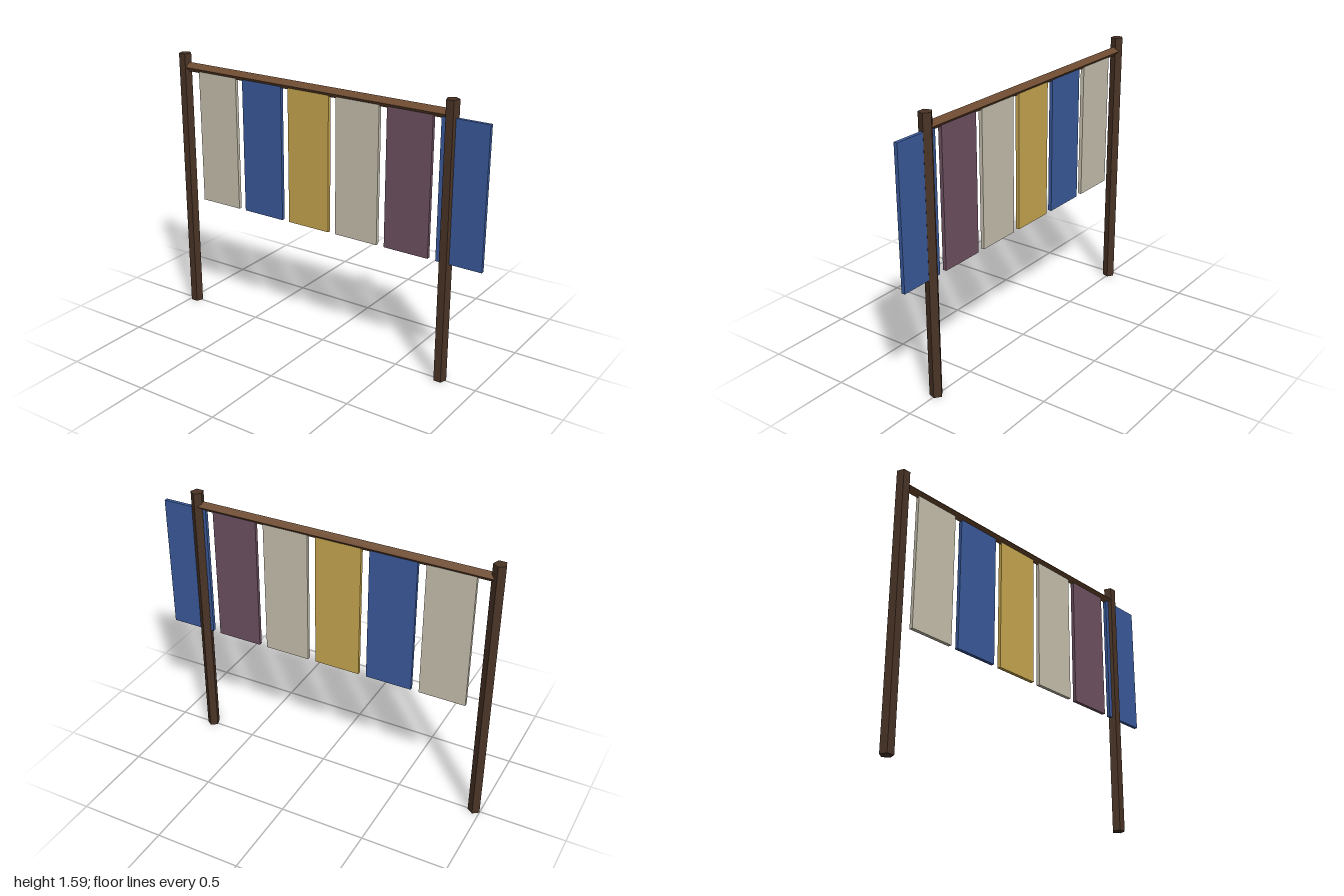
import * as THREE from 'three';

const AXIS_Z = 0.0035;   // shared depth of posts, rail and banners
const POST_X = [-0.965, 0.783];
const POST_H = 1.59;

const mat = (color) => new THREE.MeshStandardMaterial({ color, flatShading: true });

export function createModel() {
  const group = new THREE.Group();
  const add = (name, geometry, material, x, y) => {
    const mesh = new THREE.Mesh(geometry, material);
    mesh.name = name;
    mesh.position.set(x, y, AXIS_Z);
    group.add(mesh);
    return mesh;
  };

  // Five-sided posts, flat face forward
  const postGeo = new THREE.CylinderGeometry(0.037, 0.037, POST_H, 5, 1, false, Math.PI);
  const postMat = mat(0x4a3426);
  add('rightPost', postGeo, postMat, POST_X[0], POST_H / 2);
  add('leftPost', postGeo, postMat, POST_X[1], POST_H / 2);

  // Four-sided rail set on edge between the posts
  const railGeo = new THREE.CylinderGeometry(0.028, 0.028, POST_X[1] - POST_X[0], 4);
  railGeo.rotateZ(Math.PI / 2);
  add('rail', railGeo, mat(0x6f4c31), (POST_X[0] + POST_X[1]) / 2, 1.511);

  // Row of hanging cloth banners; the last one reaches past the left post
  const cream = mat(0xc9c2b0), blue = mat(0x3b5b9d), gold = mat(0xc9a850), plum = mat(0x6f5262);
  const bannerGeo = new THREE.BoxGeometry(0.27, 0.792, 0.021);
  [cream, blue, gold, cream, plum, blue].forEach((m, i) => {
    add(`banner${i + 1}`, bannerGeo, m, -0.7225 + i * 0.3175, 1.099);
  });

  return group;
}
